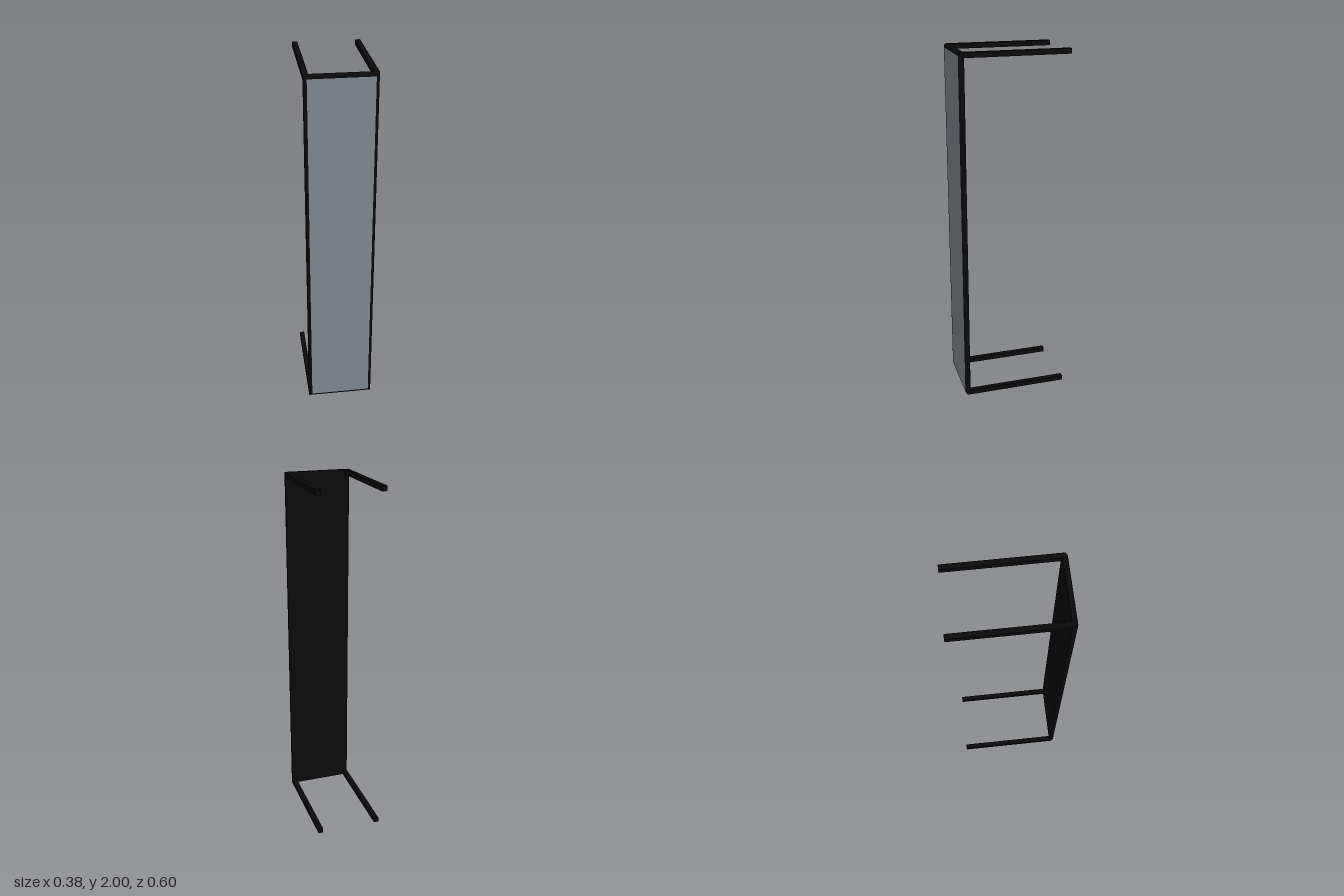
import * as THREE from 'three';
import { toCreasedNormals } from 'three/addons/utils/BufferGeometryUtils.js';

const HALF_W = 0.188, HEIGHT = 2, FRONT = 0.302, BAR = 0.028, ROUND = 0.018;
const BACK = FRONT - BAR;

// Rectangular shell: solid back, straight sides, front edges rounded inwards
function shellGeometry() {
  const rings = [[0, BACK]]; // [inset, z]
  const steps = 6;
  for (let i = 0; i <= steps; i++) {
    const a = (i / steps) * Math.PI / 2;
    rings.push([ROUND * (1 - Math.cos(a)), FRONT - ROUND + ROUND * Math.sin(a)]);
  }
  const positions = [];
  for (const [inset, z] of rings) {
    const x = HALF_W - inset;
    positions.push(-x, inset, z, x, inset, z, x, HEIGHT - inset, z, -x, HEIGHT - inset, z);
  }
  const index = [0, 2, 1, 0, 3, 2]; // back face
  for (let r = 0; r < rings.length - 1; r++) {
    for (let s = 0; s < 4; s++) {
      const a = r * 4 + s, b = r * 4 + (s + 1) % 4;
      index.push(a, b, b + 4, a, b + 4, a + 4);
    }
  }
  const geometry = new THREE.BufferGeometry();
  geometry.setAttribute('position', new THREE.Float32BufferAttribute(positions, 3));
  geometry.setIndex(index);
  return toCreasedNormals(geometry, 0.6);
}

export function createModel() {
  const model = new THREE.Group();
  const black = new THREE.MeshStandardMaterial({ color: 0x0a0a0a });
  const grey = new THREE.MeshStandardMaterial({ color: 0x7d868e });

  const add = (name, geometry, material, x, y, z) => {
    const mesh = new THREE.Mesh(geometry, material);
    mesh.name = name;
    mesh.position.set(x, y, z);
    model.add(mesh);
  };

  // Upright body and the grey front panel closing it
  add('body', shellGeometry(), black, 0, 0, 0);
  const panel = new THREE.BoxGeometry(2 * (HALF_W - ROUND), HEIGHT - 2 * ROUND, 0.012);
  add('frontPanel', panel, grey, 0, HEIGHT / 2, FRONT - 0.006);

  // Four arms reaching back from the corners
  const length = BACK + FRONT;
  const arm = new THREE.BoxGeometry(BAR, BAR, length);
  for (const [side, sx] of [['Left', 1], ['Right', -1]]) {
    for (const [level, y] of [['lower', BAR / 2], ['upper', HEIGHT - BAR / 2]]) {
      add(level + side + 'Arm', arm, black, sx * (HALF_W - BAR / 2), y, BACK - length / 2);
    }
  }
  return model;
}
